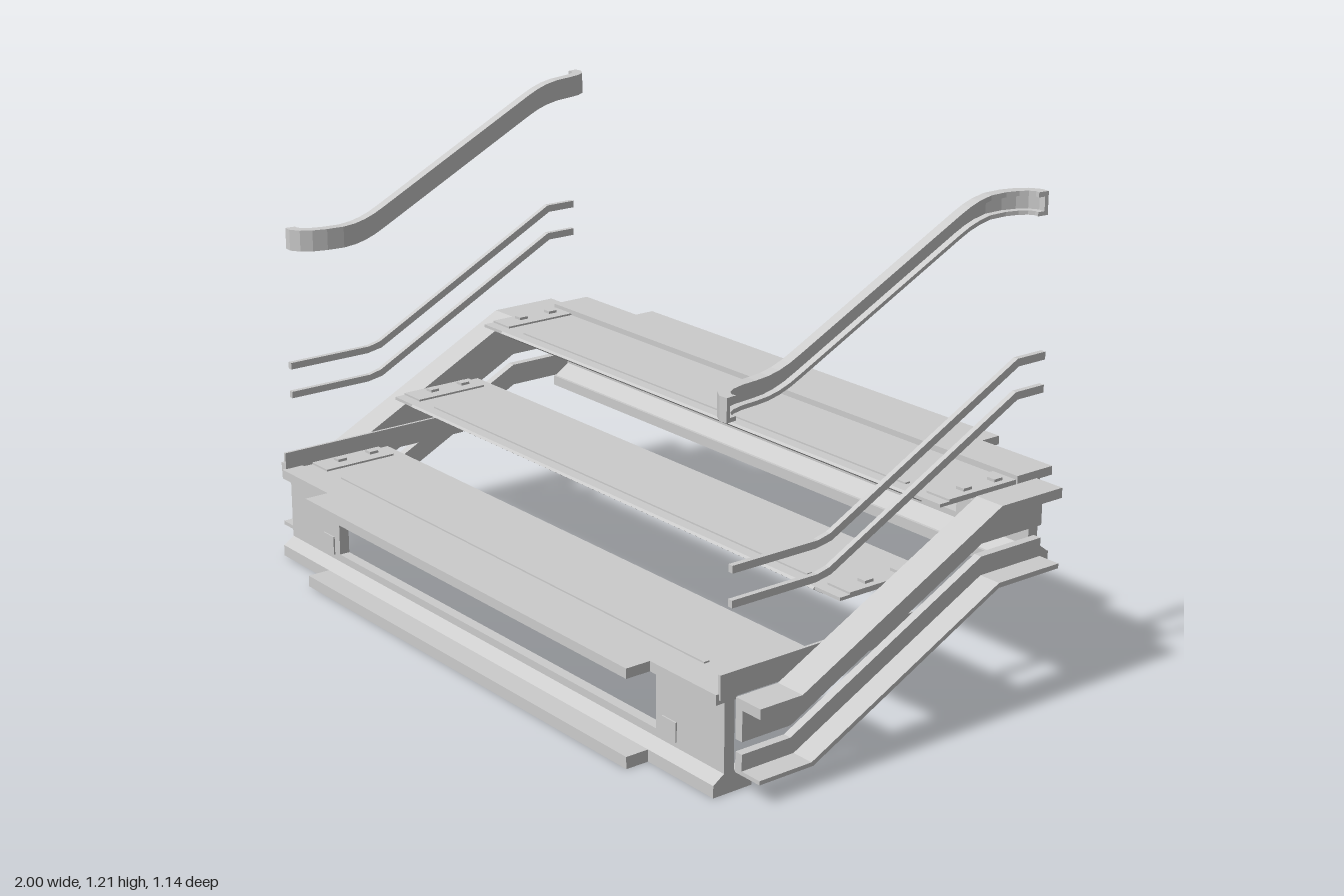
import * as THREE from 'three';

const grey = new THREE.MeshStandardMaterial({ color: 0xcccccc, flatShading: true, side: THREE.DoubleSide });

export function createModel() {
  const model = new THREE.Group();

  const add = (name, geometry, parent = model) => {
    const mesh = new THREE.Mesh(geometry, grey);
    mesh.name = name;
    parent.add(mesh);
    return mesh;
  };
  const box = (name, x0, x1, y0, y1, z0, z1, parent) => {
    const g = new THREE.BoxGeometry(Math.abs(x1 - x0), y1 - y0, z1 - z0);
    g.translate((x0 + x1) / 2, (y0 + y1) / 2, (z0 + z1) / 2);
    return add(name, g, parent);
  };
  const outline = (pts) => new THREE.Shape(pts.map(([a, b]) => new THREE.Vector2(a, b)));
  const extrude = (shape, depth) => new THREE.ExtrudeGeometry(shape, { depth, bevelEnabled: false });

  // Side profile given as [z, y] points, extruded between two x positions
  const sidePart = (name, pts, xa, xb, parent) => {
    const g = extrude(outline(pts), Math.abs(xb - xa));
    g.rotateY(-Math.PI / 2).translate(Math.max(xa, xb), 0, 0);
    return add(name, g, parent);
  };
  // Plan profile given as [x, z] points, with its top at y
  const planPart = (name, pts, top, thickness, parent) => {
    const g = extrude(outline(pts), thickness);
    g.rotateX(Math.PI / 2).translate(0, top, 0);
    return add(name, g, parent);
  };
  // Flange that is wider in the middle than at its ends
  const flange = (name, top, t, inner, shoulder, outer, parent) => planPart(name, [
    [-0.91, inner], [0.91, inner], [0.91, shoulder], [0.68, shoulder],
    [0.68, outer], [-0.68, outer], [-0.68, shoulder], [-0.91, shoulder],
  ], top, t, parent);
  // Upright web with a long window
  const web = (name, y0, y1, h0, h1, z0, depth, parent) => {
    const s = outline([[-0.91, y0], [0.91, y0], [0.91, y1], [-0.91, y1]]);
    s.holes.push(new THREE.Path([[-0.67, h0], [-0.67, h1], [0.67, h1], [0.67, h0]]
      .map(([x, y]) => new THREE.Vector2(x, y))));
    add(name, extrude(s, depth).translate(0, 0, z0), parent);
  };

  // Front end beam
  const front = new THREE.Group();
  front.name = 'frontBeam';
  model.add(front);
  flange('frontTopFlange', 0.245, 0.025, 0.445, 0.505, 0.572, front);
  flange('frontBottomFlange', 0.03, 0.03, 0.4, 0.51, 0.572, front);
  web('frontWeb', 0.03, 0.222, 0.07, 0.22, 0.452, 0.028, front);
  sidePart('frontFoot', [[0.4, 0], [0.51, 0], [0.51, 0.03], [0.48, 0.05], [0.45, 0.05], [0.4, 0.015]], -0.91, 0.91, front);

  // Back end beam
  const back = new THREE.Group();
  back.name = 'backBeam';
  model.add(back);
  flange('backTopFlange', 0.545, 0.022, -0.4, -0.515, -0.572, back);
  flange('backBottomFlange', 0.332, 0.027, -0.395, -0.515, -0.572, back);
  web('backWeb', 0.32, 0.53, 0.375, 0.5, -0.475, 0.03, back);
  sidePart('backFoot', [[-0.4, 0.33], [-0.515, 0.33], [-0.475, 0.36], [-0.445, 0.36]], -0.91, 0.91, back);

  // Square sockets on both end beams
  for (const s of [1, -1]) {
    box('frontSocket', s * 0.695, s * 0.745, 0.063, 0.112, 0.478, 0.484, front);
    box('backSocket', s * 0.695, s * 0.745, 0.378, 0.422, -0.447, -0.441, back);
  }

  // Treads with folded nosing, rear lip and end plates
  const treads = [
    { y: 0.242, z0: 0.175, z1: 0.445 },
    { y: 0.378, z0: -0.128, z1: 0.145 },
    { y: 0.53, z0: -0.43, z1: -0.155 },
  ];
  treads.forEach(({ y, z0, z1 }, i) => {
    const tread = new THREE.Group();
    tread.name = 'tread' + (i + 1);
    model.add(tread);
    box('treadPlate', -0.905, 0.905, y - 0.008, y, z0, z1, tread);
    sidePart('treadNosing', [[z1, y], [z1 + 0.004, y - 0.006], [z1 - 0.025, y - 0.024], [z1 - 0.03, y - 0.02], [z1 - 0.01, y - 0.006]], -0.82, 0.82, tread);
    box('nosingStrip', -0.76, 0.76, y, y + 0.004, z1 - 0.045, z1 - 0.03, tread);
    box('rearLip', -0.82, 0.82, y - 0.022, y - 0.006, z0, z0 + 0.008, tread);
    for (const s of [1, -1]) {
      box('endPlate', s * 0.83, s * 0.905, y, y + 0.005, z0 + 0.03, z1 - 0.03, tread);
      for (const z of [z0 + 0.07, z0 + 0.17])
        box('endClip', s * 0.863, s * 0.888, y + 0.005, y + 0.012, z - 0.013, z + 0.013, tread);
    }
  });

  // Bent band in side view: upper edge, then lower edge, both front to back
  const band = (top, bottom) => [...top, ...bottom.slice().reverse()];

  // C-section sweep along a path that bends in plan and in height
  const section = [[-0.014, -0.028], [0.014, -0.028], [0.014, -0.018], [-0.004, -0.018],
    [-0.004, 0.016], [0.014, 0.016], [0.014, 0.028], [-0.014, 0.028]];
  const handrail = (side) => {
    const half = [[0.895, 0.458], [0.878, 0.46], [0.858, 0.448], [0.843, 0.425], [0.833, 0.39], [0.828, 0.345],
      [0.828, 0.31], [0.828, 0.28], [0.828, 0.25], [0.828, 0.22]];
    const plan = [...half, ...half.map(([x, z]) => [x, -z]).reverse()];
    // level, eased into the slope, level again
    const ease = (d) => (d < -0.06 ? 0 : d > 0.06 ? d : (d + 0.06) ** 2 / 0.24);
    const height = (z) => 0.881 + 0.5 * (ease(0.29 - z) - ease(-0.315 - z));
    const path = plan.map(([x, z]) => new THREE.Vector3(side * x, height(z), z));
    const pos = [], index = [], n = section.length;
    path.forEach((p, i) => {
      const a = path[Math.max(i - 1, 0)], b = path[Math.min(i + 1, path.length - 1)];
      const out = new THREE.Vector2(-(b.z - a.z), b.x - a.x).normalize().multiplyScalar(side);
      for (const [u, v] of section) pos.push(p.x + out.x * u, p.y + v, p.z + out.y * u);
      if (i === 0) return;
      for (let k = 0; k < n; k++) {
        const c = (i - 1) * n + k, d = (i - 1) * n + (k + 1) % n;
        index.push(c, d, c + n, d, d + n, c + n);
      }
    });
    const caps = THREE.ShapeUtils.triangulateShape(section.map(([u, v]) => new THREE.Vector2(u, v)), []);
    const last = (path.length - 1) * n;
    for (const [a, b, c] of caps) index.push(a, c, b, last + a, last + b, last + c);
    const g = new THREE.BufferGeometry();
    g.setAttribute('position', new THREE.Float32BufferAttribute(pos, 3));
    g.setIndex(index);
    g.computeVertexNormals();
    return g;
  };

  for (const s of [1, -1]) {
    const sideName = s > 0 ? 'left' : 'right';

    // Stringer: slotted web with an outward flange above and below
    const stringer = new THREE.Group();
    stringer.name = sideName + 'Stringer';
    model.add(stringer);
    const top = [[0.455, 0.23], [0.335, 0.23], [-0.26, 0.53], [-0.455, 0.53]];
    const underTop = [[0.455, 0.205], [0.335, 0.205], [-0.26, 0.505], [-0.455, 0.505]];
    const slotTop = [[0.455, 0.13], [0.315, 0.13], [-0.26, 0.42], [-0.455, 0.42]];
    const slotBottom = [[0.455, 0.1], [0.315, 0.1], [-0.26, 0.388], [-0.455, 0.388]];
    const overBottom = [[0.455, 0.06], [0.305, 0.06], [-0.26, 0.342], [-0.455, 0.342]];
    const bottom = [[0.455, 0.05], [0.3, 0.05], [-0.26, 0.33], [-0.455, 0.33]];
    sidePart('upperFlange', band(top, underTop), s * 0.935, s, stringer);
    sidePart('upperWeb', band(top, slotTop), s * 0.918, s * 0.94, stringer);
    sidePart('lowerWeb', band(slotBottom, bottom), s * 0.918, s * 0.94, stringer);
    sidePart('lowerFlange', band(overBottom, bottom), s * 0.935, s, stringer);

    // Side sheet beside the lowest tread
    box(sideName + 'SideSheet', s * 0.906, s * 0.914, 0.23, 0.29, -0.075, 0.496);

    // Two flat guard rails
    for (const y of [0.44, 0.52]) {
      const upper = [[0.468, 0.018], [0.225, 0.018], [0.19, 0.026], [-0.375, 0.317], [-0.465, 0.317]];
      const lower = [[0.468, 0], [0.23, 0], [0.185, 0.008], [-0.38, 0.298], [-0.465, 0.298]];
      sidePart(sideName + 'GuardRail', band(upper, lower).map(([z, h]) => [z, h + y]), s * 0.903, s * 0.917);
    }

    add(sideName + 'Handrail', handrail(s));
  }
  return model;
}
